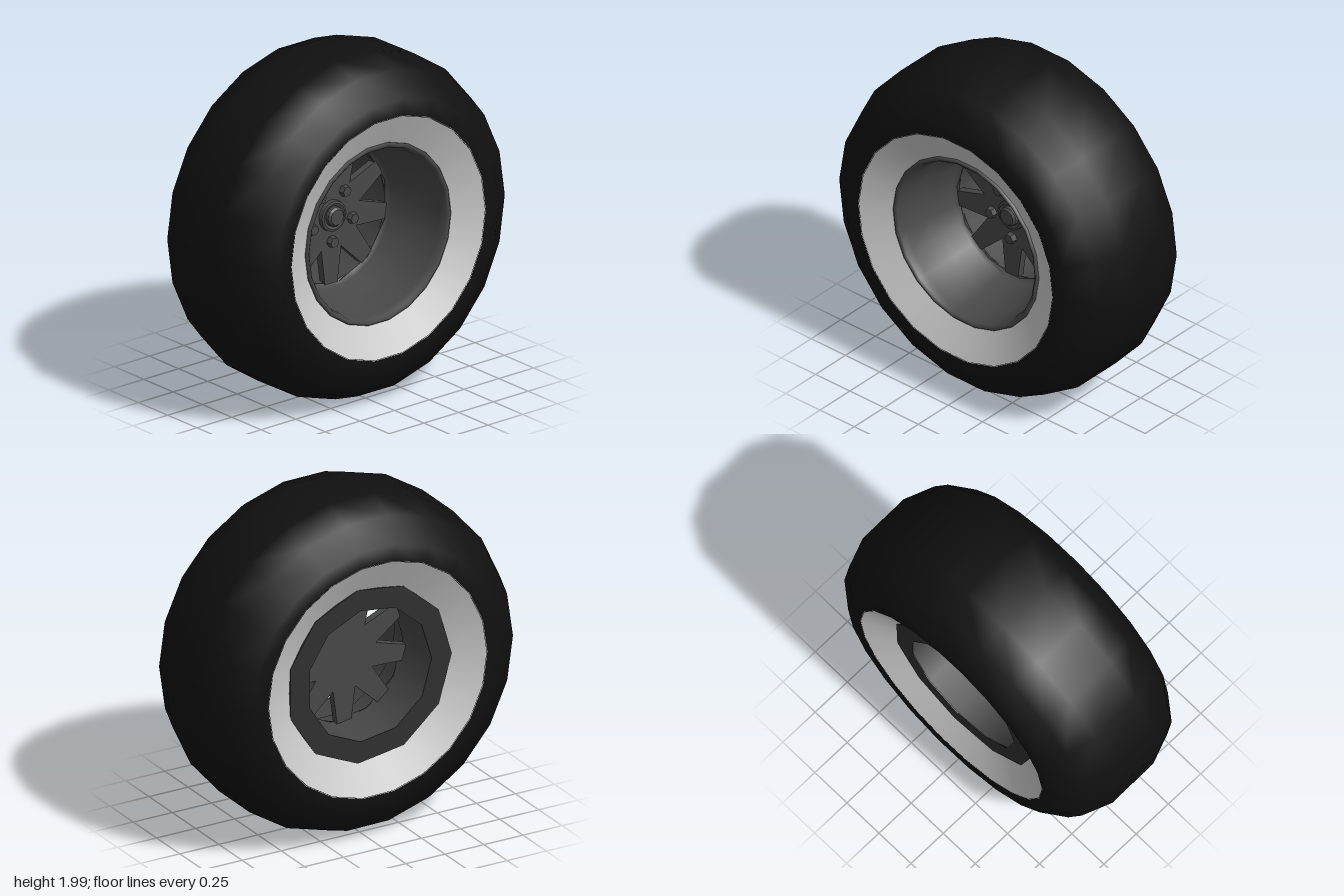
import * as THREE from 'three';

const mat = (color, flat = false) =>
  new THREE.MeshStandardMaterial({ color, flatShading: flat, side: THREE.DoubleSide });

export function createModel() {
  const model = new THREE.Group();
  const wheel = new THREE.Group();
  wheel.name = 'wheel';
  model.add(wheel);

  const rubber = mat(0x101010);
  const wall = mat(0xcccccc);
  const metal = mat(0x484848);
  const metalFlat = mat(0x484848, true);
  const darkFlat = mat(0x303030, true);

  const add = (name, geometry, material) => {
    const mesh = new THREE.Mesh(geometry, material);
    mesh.name = name;
    wheel.add(mesh);
    return mesh;
  };

  // Turned part around the x axle; profile points are [x, radius]
  const turned = (name, profile, sides, material) => {
    const g = new THREE.LatheGeometry(profile.map(([x, r]) => new THREE.Vector2(r, x)), sides);
    g.rotateZ(-Math.PI / 2);
    return add(name, g, material);
  };

  // Tyre tread and shoulders
  turned('tyre', [
    [-0.442, 0.7], [-0.442, 0.8], [-0.335, 0.935], [-0.16, 1],
    [0.16, 1], [0.335, 0.935], [0.442, 0.8], [0.442, 0.7],
  ], 22, rubber);

  // Pale sidewall bands, dished towards the rim
  turned('outerSidewall', [[0.443, 0.705], [0.34, 0.505]], 22, wall);
  turned('innerSidewall', [[-0.34, 0.505], [-0.443, 0.705]], 22, wall);

  // Deep outer dish with a rolled lip
  turned('rimDish', [
    [0.33, 0.527], [0.36, 0.525], [0.367, 0.512], [0.355, 0.498], [0.31, 0.487],
    [0.15, 0.475], [0.11, 0.445], [-0.03, 0.425], [-0.05, 0.395],
  ], 22, metal);

  // Inner barrel and back flange
  turned('rimBarrel', [[-0.04, 0.405], [-0.35, 0.405]], 11, metal);
  turned('backFlange', [[-0.355, 0.4], [-0.355, 0.53], [-0.3, 0.53]], 11, darkFlat);

  // Nine-spoke star, one spoke pointing straight down
  const star = new THREE.Shape();
  const spokes = 9, tipHalf = 0.113, step = (Math.PI * 2) / spokes;
  for (let i = 0; i < spokes; i++) {
    const a = -Math.PI / 2 + i * step;
    for (const [t, r] of [[a - tipHalf, 0.402], [a + tipHalf, 0.402], [a + step / 2, 0.208]]) {
      const p = [Math.cos(t) * r, Math.sin(t) * r];
      if (i === 0 && t < a) star.moveTo(...p);
      else star.lineTo(...p);
    }
  }
  const spokeGeo = new THREE.ExtrudeGeometry(star, { depth: 0.045, bevelEnabled: false });
  spokeGeo.rotateY(Math.PI / 2).translate(-0.085, 0, 0);
  add('spokes', spokeGeo, metalFlat);

  // Hub ring and centre cap
  turned('hubRing', [
    [-0.04, 0.09], [-0.015, 0.088], [-0.012, 0.075], [-0.02, 0.058],
  ], 20, metalFlat);
  turned('centreCap', [
    [-0.04, 0.058], [0, 0.057], [0.012, 0.045], [0.012, 0],
  ], 16, metalFlat);

  // Five hexagonal wheel nuts
  for (let i = 0; i < 5; i++) {
    const a = -Math.PI / 2 + (i * Math.PI * 2) / 5;
    const nut = new THREE.CylinderGeometry(0.03, 0.035, 0.035, 6);
    nut.rotateZ(-Math.PI / 2);
    nut.translate(-0.025, Math.sin(a) * 0.153, Math.cos(a) * 0.153);
    add('wheelNut', nut, metalFlat);
  }

  // Slight lean of the whole wheel
  wheel.rotation.set(-0.01, 0.008, 0.012);
  wheel.position.y = 0.993;
  return model;
}
